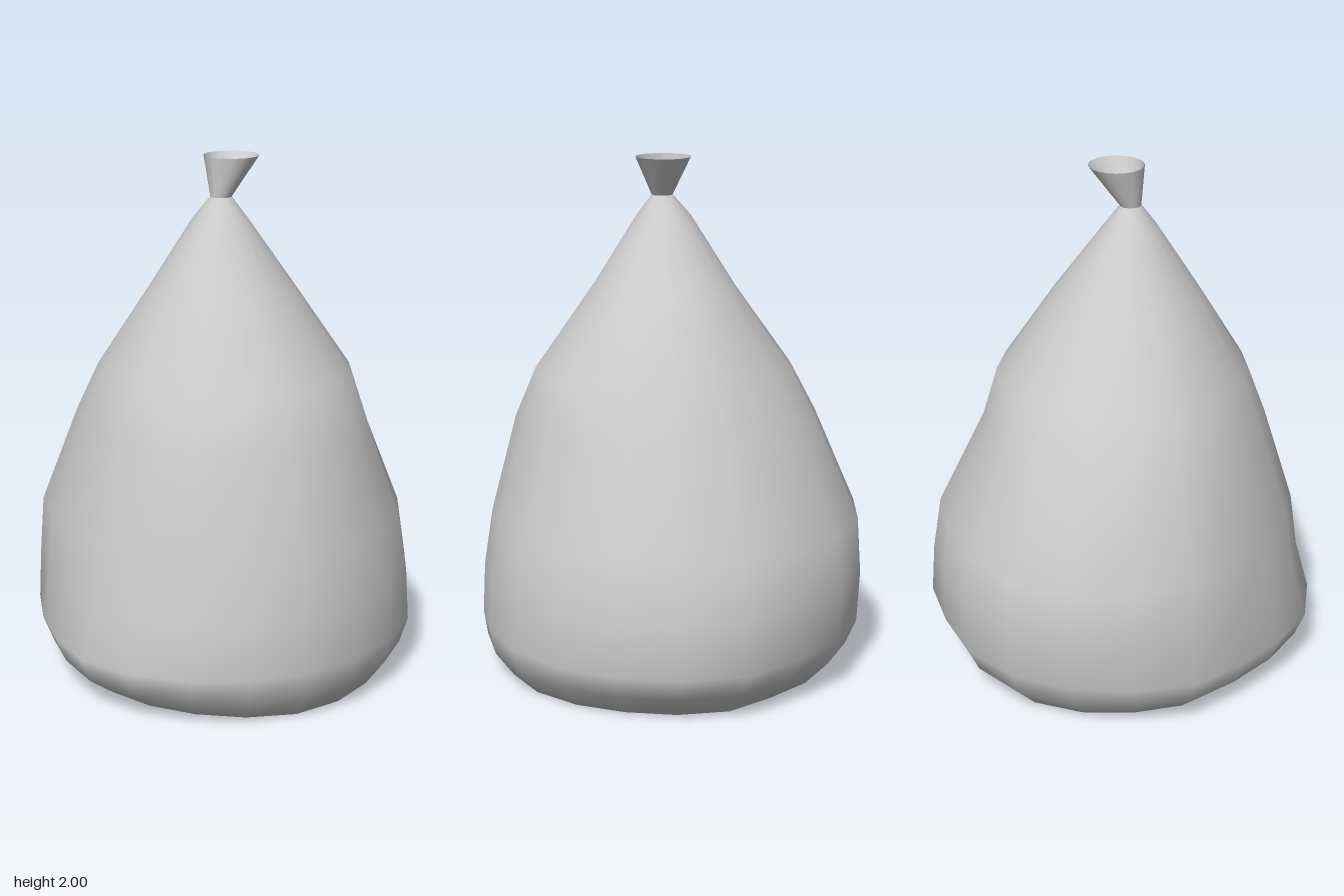
import * as THREE from 'three';

const SIDES = 20;
const AXIS = { x: 0.03, z: 0.03 };

// Sack rings from floor to neck: height, then reach to +x, +z, -x, -z
const RINGS = [
  [0.0, 0.63, 0.58, 0.63, 0.63],
  [0.1, 0.70, 0.69, 0.72, 0.73],
  [0.2, 0.715, 0.73, 0.76, 0.79],
  [0.4, 0.705, 0.67, 0.775, 0.775],
  [0.62, 0.67, 0.64, 0.765, 0.74],
  [1.0, 0.57, 0.52, 0.60, 0.56],
  [1.19, 0.49, 0.45, 0.50, 0.51],
  [1.5, 0.27, 0.275, 0.28, 0.30],
  [1.77, 0.10, 0.10, 0.11, 0.10],
  [1.85, 0.04, 0.04, 0.04, 0.04],
];

// Slight unevenness around the sack, fading towards the neck
const LUMPS = [1, 1, 0.99, 0.99, 1, 1, 0.96, 0.95, 0.99, 0.98,
  1, 1.025, 1.02, 0.99, 1.025, 1, 0.98, 0.99, 1.005, 1];

function reach(ring, j) {
  const quarter = SIDES / 4;
  const q = Math.floor(j / quarter);
  const t = Math.sin(((j % quarter) / quarter) * Math.PI / 2) ** 2;
  const r = THREE.MathUtils.lerp(ring[1 + q], ring[1 + (q + 1) % 4], t);
  return r * (1 + (LUMPS[j] - 1) * (1 - ring[0] / 1.85));
}

function sackGeometry() {
  const pos = [], index = [];
  RINGS.forEach((ring, i) => {
    for (let j = 0; j < SIDES; j++) {
      const a = (j / SIDES) * Math.PI * 2, r = reach(ring, j);
      // The front edge of the base lifts a little off the floor
      const lift = i === 0 ? 0.02 * Math.max(0, Math.sin(a - 0.3)) : 0;
      pos.push(AXIS.x + r * Math.cos(a), ring[0] + lift, AXIS.z + r * Math.sin(a));
    }
  });
  for (let i = 0; i < RINGS.length - 1; i++) {
    for (let j = 0; j < SIDES; j++) {
      const k = (j + 1) % SIDES;
      const a = i * SIDES + j, b = i * SIDES + k;
      index.push(a, a + SIDES, b, b, a + SIDES, b + SIDES);
    }
  }
  // Base fan
  const centre = pos.length / 3;
  pos.push(AXIS.x, 0, AXIS.z);
  for (let j = 0; j < SIDES; j++) index.push(centre, j, (j + 1) % SIDES);

  const geo = new THREE.BufferGeometry();
  geo.setAttribute('position', new THREE.Float32BufferAttribute(pos, 3));
  geo.setIndex(index);
  geo.computeVertexNormals();
  return geo;
}

// Open funnel above the tie, leaning backwards
function mouthGeometry() {
  const geo = new THREE.CylinderGeometry(0.105, 0.04, 0.15, SIDES, 1, true);
  const p = geo.attributes.position;
  for (let i = 0; i < p.count; i++) {
    if (p.getY(i) > 0) p.setZ(i, p.getZ(i) - 0.055);
  }
  geo.translate(AXIS.x, 1.925, AXIS.z);
  geo.computeVertexNormals();
  return geo;
}

export function createModel() {
  const group = new THREE.Group();
  group.name = 'tiedSack';
  const material = new THREE.MeshStandardMaterial({ color: 0xcccccc, side: THREE.DoubleSide });

  const sack = new THREE.Mesh(sackGeometry(), material);
  sack.name = 'sackBody';
  const mouth = new THREE.Mesh(mouthGeometry(), material);
  mouth.name = 'sackMouth';

  group.add(sack, mouth);
  return group;
}
